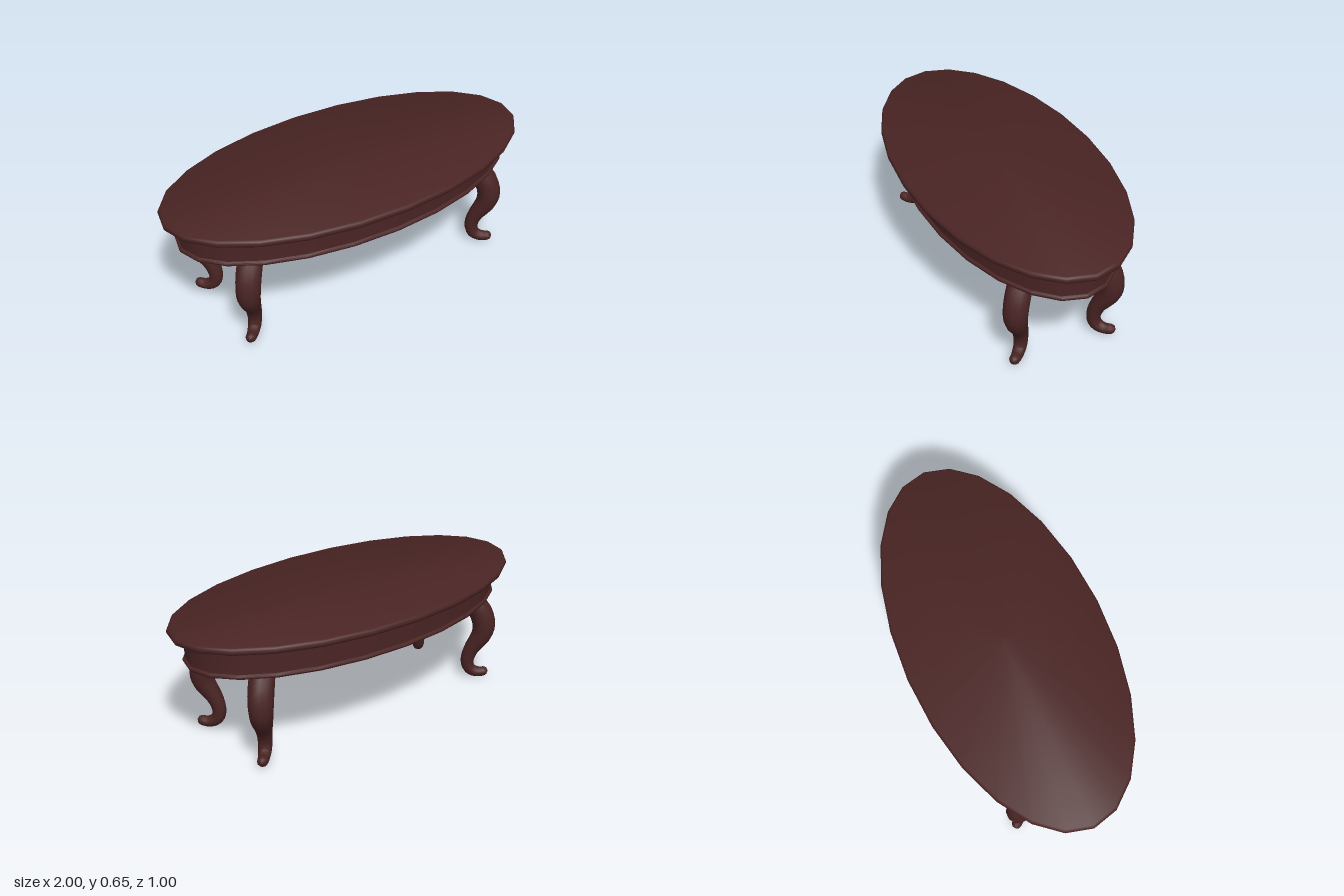
import * as THREE from 'three';
import { toCreasedNormals } from 'three/addons/utils/BufferGeometryUtils.js';

// Skin a list of closed rings (arrays of Vector3 with equal length)
function loft(rings) {
  const n = rings[0].length;
  const index = [];
  for (let i = 0; i < rings.length - 1; i++) {
    for (let j = 0; j < n; j++) {
      const a = i * n + j, b = i * n + (j + 1) % n;
      index.push(a, a + n, b, b, a + n, b + n);
    }
  }
  const geometry = new THREE.BufferGeometry().setFromPoints(rings.flat());
  geometry.setIndex(index);
  geometry.computeVertexNormals();
  return geometry;
}

// Oval slab: profile rows are [outward offset, height, scale], bottom to top
function oval(profile, sides = 24) {
  const rings = profile.map(([offset, y, s = 1]) =>
    Array.from({ length: sides }, (_, j) => {
      const a = (j / sides) * Math.PI * 2;
      return new THREE.Vector3(s * (1 + offset) * Math.cos(a), y, s * (0.5 + offset) * Math.sin(a));
    }));
  return toCreasedNormals(loft(rings), 0.75);
}

// Leg centreline, top to toe: outward shift, height, radius
const legCurve = new THREE.CatmullRomCurve3([
  [0.13, 0.53, 0.06], [0.182, 0.47, 0.06], [0.23, 0.395, 0.062],
  [0.248, 0.32, 0.06], [0.243, 0.26, 0.055], [0.205, 0.165, 0.04],
  [0.193, 0.095, 0.035], [0.205, 0.049, 0.032], [0.232, 0.033, 0.028],
  [0.258, 0.037, 0.025],
].map(p => new THREE.Vector3(...p)));

// Cabriole leg curving out along a diagonal
function legGeometry(sx, sz, sides = 12, steps = 26) {
  const across = new THREE.Vector3(sz, 0, -sx).normalize();
  const rings = [];
  const addRing = (u, y, r, tangent) => {
    const normal = new THREE.Vector3().crossVectors(tangent, across);
    const centre = new THREE.Vector3(sx * (0.477 + u), y, sz * u);
    rings.push(Array.from({ length: sides }, (_, j) => {
      const a = (j / sides) * Math.PI * 2;
      return centre.clone().addScaledVector(normal, r * Math.cos(a)).addScaledVector(across, r * Math.sin(a));
    }));
  };
  let p, tangent;
  for (let i = 0; i <= steps; i++) {
    p = legCurve.getPoint(i / steps);
    const t = legCurve.getTangent(i / steps);
    tangent = new THREE.Vector3(sx * t.x, t.y, sz * t.x).normalize();
    addRing(p.x, p.y, p.z, tangent);
  }
  // Rounded toe
  addRing(p.x + 0.01, p.y + 0.003, 0.018, tangent);
  addRing(p.x + 0.015, p.y + 0.004, 0.0005, tangent);
  return loft(rings);
}

export function createModel() {
  const table = new THREE.Group();
  table.name = 'ovalTable';
  const wood = new THREE.MeshStandardMaterial({ color: 0x4a2424 });
  wood.name = 'dark mahogany';

  const add = (name, geometry) => {
    const mesh = new THREE.Mesh(geometry, wood);
    mesh.name = name;
    table.add(mesh);
  };

  // Top with a rounded rim
  add('tableTop', oval([
    [-0.015, 0.614, 0], [-0.015, 0.614], [-0.004, 0.619], [0, 0.628],
    [0, 0.638], [-0.004, 0.646], [-0.013, 0.651], [-0.013, 0.651, 0],
  ]));

  // Apron under the top
  add('apron', oval([[-0.077, 0.472, 0], [-0.077, 0.472], [-0.077, 0.62]]));

  // Bead along the bottom of the apron
  add('apronBead', oval([
    [-0.076, 0.467, 0], [-0.076, 0.467], [-0.068, 0.471], [-0.065, 0.478],
    [-0.068, 0.486], [-0.078, 0.491],
  ]));

  // Four cabriole legs
  for (const sx of [1, -1]) {
    for (const sz of [1, -1]) {
      add(`${sz > 0 ? 'front' : 'back'}${sx > 0 ? 'Left' : 'Right'}Leg`, legGeometry(sx, sz));
    }
  }
  return table;
}
